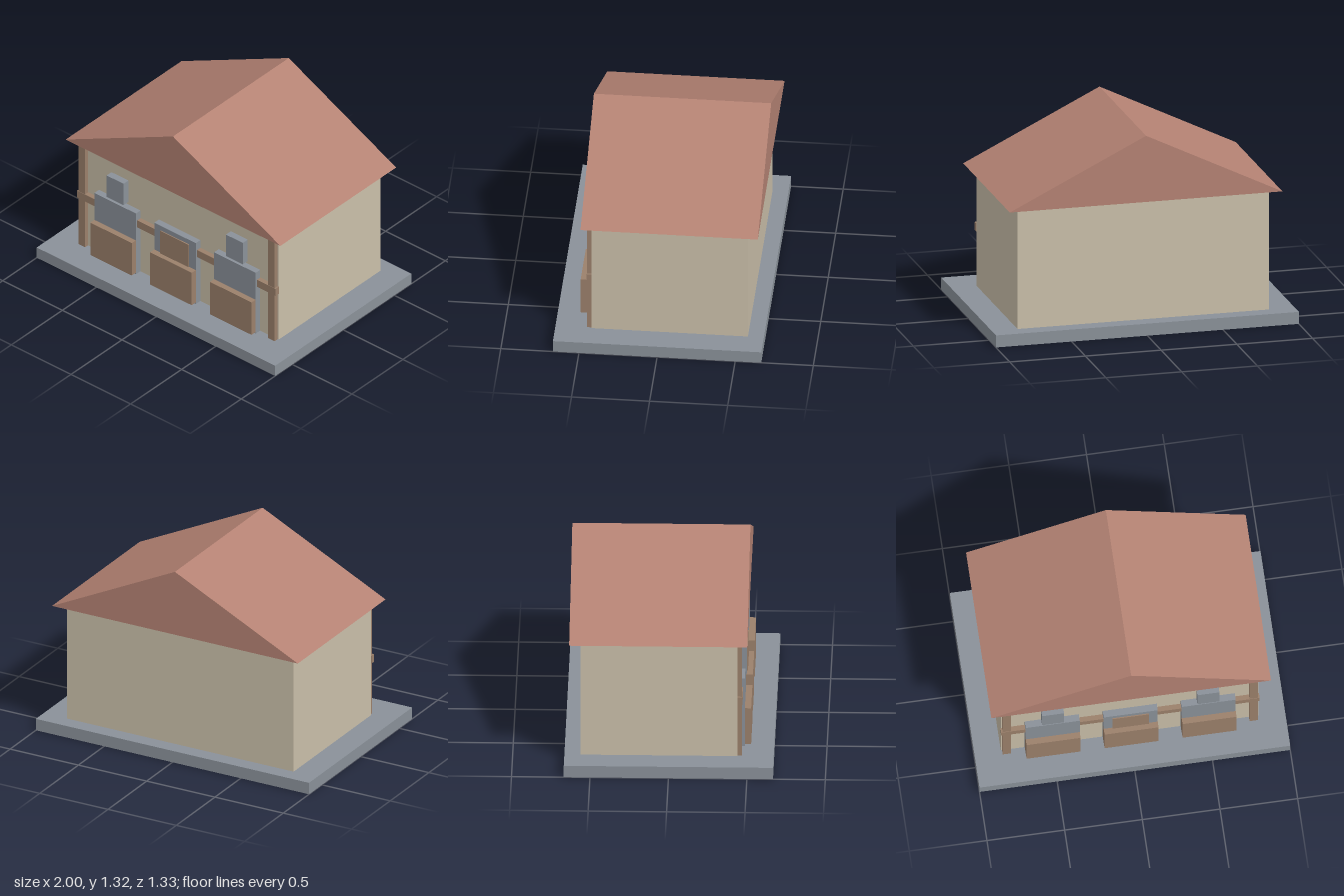
import * as THREE from 'three';

export function createModel() {
  const house = new THREE.Group();
  house.name = 'house';

  const material = (name, color) => {
    const m = new THREE.MeshStandardMaterial({ color });
    m.name = name;
    return m;
  };
  const stone = material('stone grey', 0x8a9199);
  const plaster = material('cream plaster', 0xcabfa9);
  const timber = material('brown timber', 0x9b806b);
  const tile = material('terracotta tile', 0xb48273);

  // Box given by its lower and upper limits on each axis
  const box = (name, mat, [x0, x1], [y0, y1], [z0, z1]) => {
    const mesh = new THREE.Mesh(new THREE.BoxGeometry(x1 - x0, y1 - y0, z1 - z0), mat);
    mesh.position.set((x0 + x1) / 2, (y0 + y1) / 2, (z0 + z1) / 2);
    mesh.name = name;
    house.add(mesh);
  };

  const wallFront = 0.435;

  // Plinth and main walls
  box('plinth', stone, [-1, 1], [0, 0.08], [-0.667, 0.667]);
  box('walls', plaster, [-0.83, 0.83], [0.08, 0.88], [-0.565, wallFront]);

  // Solid gable roof with its ridge running front to back
  const gable = new THREE.Shape([
    new THREE.Vector2(-0.9, 0.88),
    new THREE.Vector2(0.9, 0.88),
    new THREE.Vector2(0, 1.32),
  ]);
  const roof = new THREE.Mesh(
    new THREE.ExtrudeGeometry(gable, { depth: 1.135, bevelEnabled: false }), tile);
  roof.position.z = -0.635;
  roof.name = 'roof';
  house.add(roof);

  // Timber framing on the front
  box('leftPost', timber, [0.767, 0.822], [0.08, 0.88], [wallFront, 0.465]);
  box('rightPost', timber, [-0.822, -0.767], [0.08, 0.88], [wallFront, 0.465]);
  box('crossBeam', timber, [-0.832, 0.832], [0.44, 0.495], [wallFront, 0.468]);

  // Three stalls: grey back panel with a timber counter
  for (const [side, x] of [['right', -0.502], ['middle', 0], ['left', 0.502]]) {
    const span = [x - 0.174, x + 0.174];
    box(`${side}StallPanel`, stone, span, [0.08, 0.555], [wallFront, 0.48]);
    box(`${side}Counter`, timber, span, [0.092, 0.345], [0.45, 0.52]);
  }

  // Door behind the middle counter
  box('door', timber, [-0.118, 0.118], [0.08, 0.52], [wallFront, 0.487]);

  // Small upper windows
  for (const [side, x] of [['right', -0.5], ['left', 0.5]]) {
    box(`${side}Window`, stone, [x - 0.071, x + 0.071], [0.575, 0.742], [wallFront, 0.483]);
  }

  return house;
}
